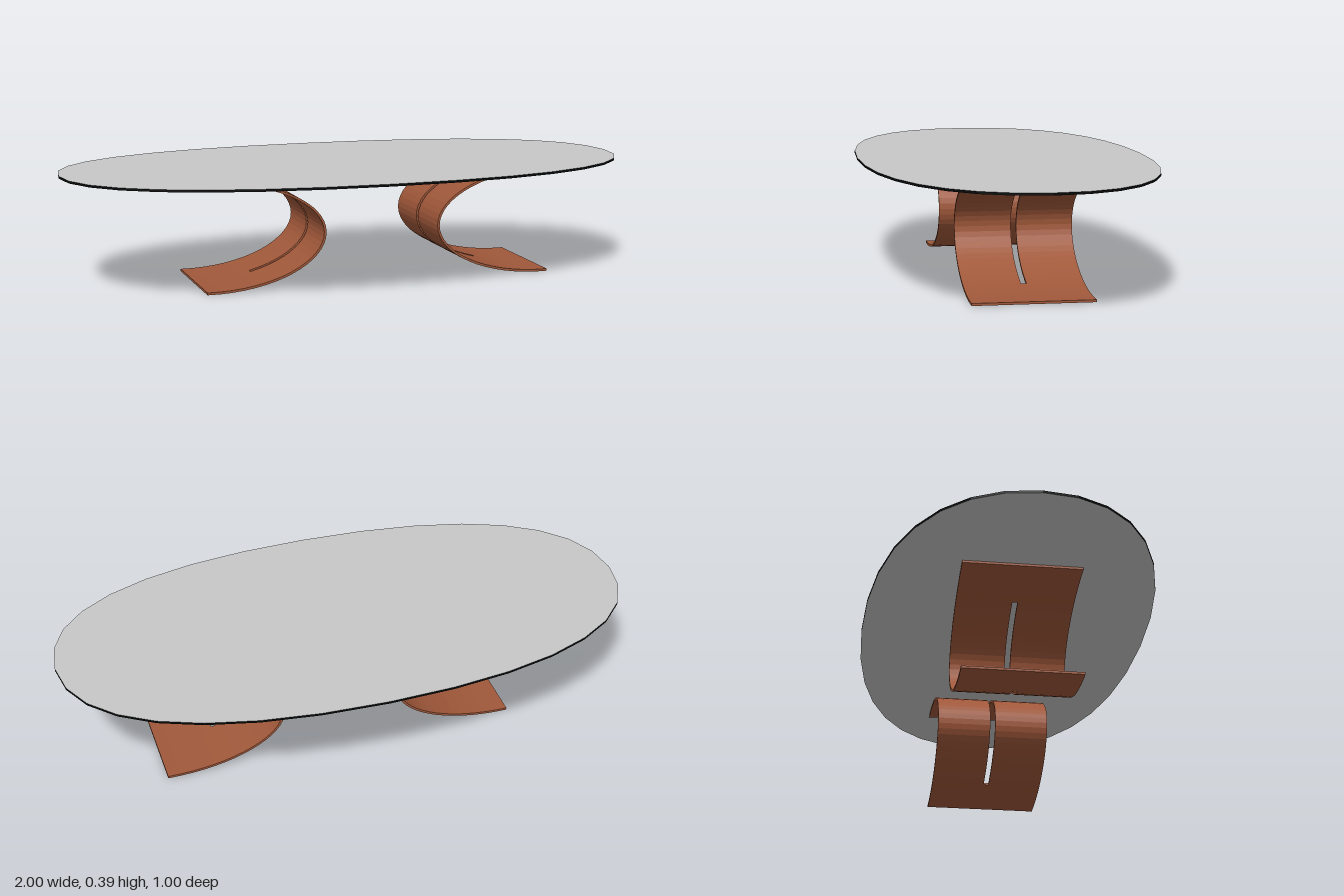
import * as THREE from 'three';

const brown = new THREE.MeshStandardMaterial({ color: 0xa0583a });
brown.name = 'brown wood';
const grey = new THREE.MeshStandardMaterial({ color: 0xc8c8c8 });
grey.name = 'grey top';
const black = new THREE.MeshStandardMaterial({ color: 0x060808 });
black.name = 'black rim';

const V = (x, y) => new THREE.Vector2(x, y);
const THICK = 0.008;

// Centre line of the C-shaped leg, from its foot round to the table top
function legLine() {
  const lower = new THREE.CubicBezierCurve(V(0.687, 0.005), V(0.45, 0.0), V(0.275, 0.09), V(0.275, 0.19));
  const upper = new THREE.CubicBezierCurve(V(0.275, 0.19), V(0.275, 0.29), V(0.45, 0.375), V(0.695, 0.382));
  const pts = [...lower.getPoints(16), ...upper.getPoints(16).slice(1)];
  pts.forEach((p) => { p.y = Math.max(p.y, THICK / 2); });
  return pts;
}

// Bent board following points a..b of the line, between depths z0 and z1
function bentBoard(line, a, b, z0, z1, name) {
  const inner = [], outer = [];
  for (let i = a; i <= b; i++) {
    const p = line[Math.max(i - 1, 0)], q = line[Math.min(i + 1, line.length - 1)];
    const n = V(p.y - q.y, q.x - p.x).normalize().multiplyScalar(THICK / 2);
    inner.push(line[i].clone().add(n));
    outer.push(line[i].clone().sub(n));
  }
  const shape = new THREE.Shape([...inner, ...outer.reverse()]);
  const geo = new THREE.ExtrudeGeometry(shape, { depth: z1 - z0, bevelEnabled: false });
  geo.translate(0, 0, z0);
  const mesh = new THREE.Mesh(geo, brown);
  mesh.name = name;
  return mesh;
}

// Leg with a long slot down the middle of its bend
function makeLeg(name, line) {
  const leg = new THREE.Group();
  leg.name = name;
  const last = line.length - 1, s = 5, w = 0.2, slot = 0.009;
  leg.add(
    bentBoard(line, 0, s, -w, w, 'foot'),
    bentBoard(line, last - s, last, -w, w, 'topSupport'),
    bentBoard(line, s, last - s, slot, w, 'frontBend'),
    bentBoard(line, s, last - s, -w, -slot, 'backBend'),
  );
  return leg;
}

// Oval top, slightly fuller than an ellipse
function makeTop() {
  const a = 1, b = 0.5, k = 0.64;
  const s = new THREE.Shape();
  s.moveTo(a, 0);
  s.bezierCurveTo(a, b * k, a * k, b, 0, b);
  s.bezierCurveTo(-a * k, b, -a, b * k, -a, 0);
  s.bezierCurveTo(-a, -b * k, -a * k, -b, 0, -b);
  s.bezierCurveTo(a * k, -b, a, -b * k, a, 0);
  const geo = new THREE.ExtrudeGeometry(s, { depth: 0.008, bevelEnabled: false, curveSegments: 8 });
  geo.rotateX(-Math.PI / 2);
  geo.translate(0, 0.387, 0);
  const top = new THREE.Mesh(geo, [grey, black]);
  top.name = 'tableTop';
  return top;
}

export function createModel() {
  const table = new THREE.Group();
  table.name = 'table';
  const line = legLine();
  // The legs mirror each other about x = 0.07
  const mirrored = line.map((p) => V(0.14 - p.x, p.y));
  table.add(makeTop(), makeLeg('leftLeg', line), makeLeg('rightLeg', mirrored));
  return table;
}
